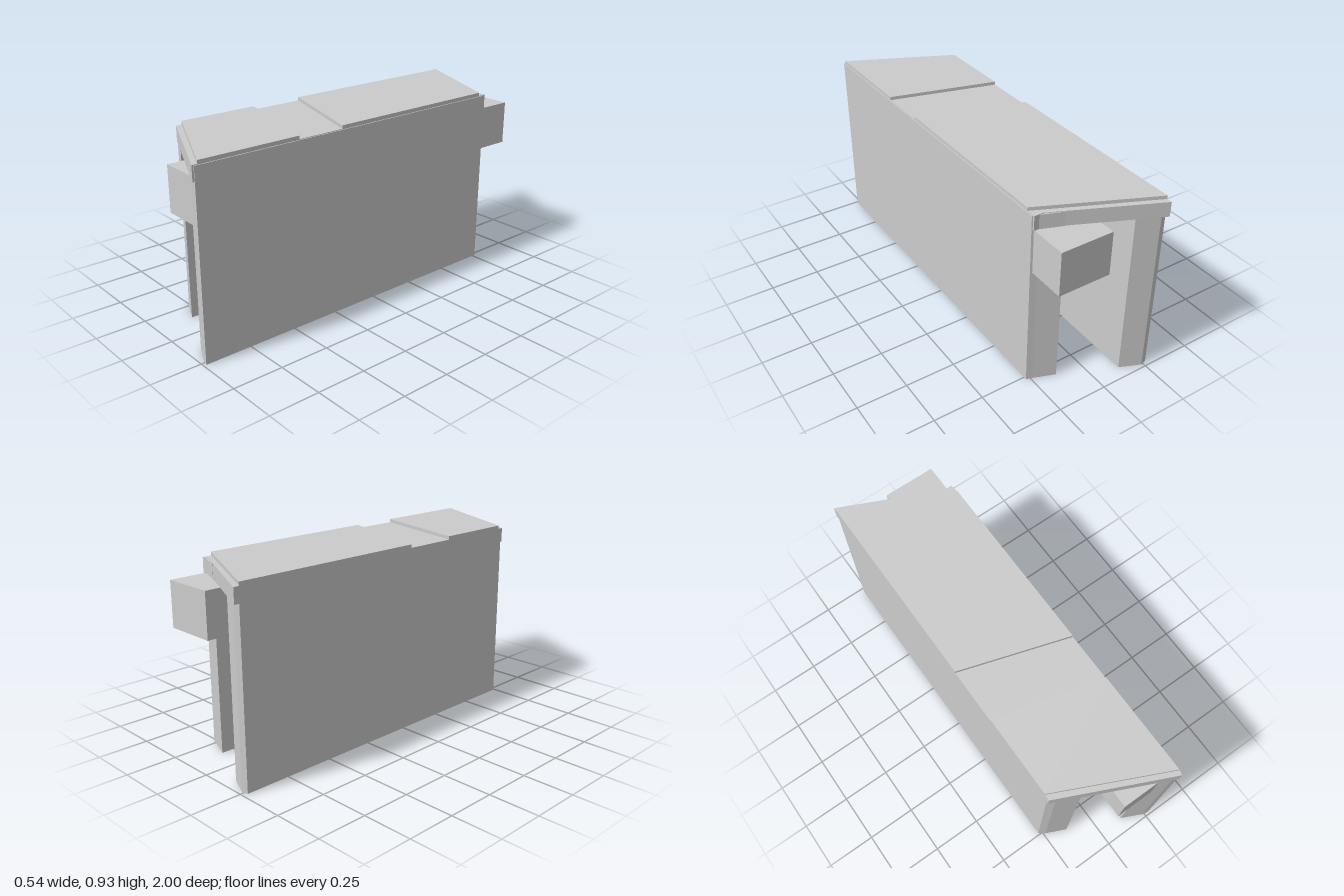
import * as THREE from 'three';

const material = new THREE.MeshStandardMaterial({ color: 0xcccccc, flatShading: true });

// Prism standing on a plan outline given as [x, z] corners
function prism(name, plan, y0, y1) {
  const shape = new THREE.Shape(plan.map(([x, z]) => new THREE.Vector2(x, -z)));
  const geometry = new THREE.ExtrudeGeometry(shape, { depth: y1 - y0, bevelEnabled: false });
  geometry.rotateX(-Math.PI / 2);
  geometry.translate(0, y0, 0);
  const mesh = new THREE.Mesh(geometry, material);
  mesh.name = name;
  return mesh;
}

export function createModel() {
  const model = new THREE.Group();
  model.name = 'skewedCulvert';

  // Side walls with skewed ends and clipped outer corners
  model.add(prism('leftWall', [
    [0.135, 0.93], [0.24, 0.98], [0.27, 0.987],
    [0.27, -0.765], [0.24, -0.775], [0.135, -0.815],
  ], 0, 0.912));
  model.add(prism('rightWall', [
    [-0.27, 0.74], [-0.24, 0.763], [-0.137, 0.81],
    [-0.137, -0.938], [-0.24, -0.983], [-0.27, -0.975],
  ], 0, 0.842));

  // Roof deck spanning both walls
  model.add(prism('deck', [
    [-0.27, 0.75], [0.265, 0.995], [0.265, -0.775], [0.22, -0.775], [-0.27, -1],
  ], 0.842, 0.915));

  // Thin raised slabs with a gap between them
  model.add(prism('frontSlab', [
    [-0.27, 0.72], [0.267, 0.97], [0.267, 0.453], [-0.27, 0.315],
  ], 0.915, 0.932));
  model.add(prism('backSlab', [
    [-0.27, 0.04], [0.267, 0.207], [0.267, -0.728], [-0.27, -0.973],
  ], 0.915, 0.932));

  // Square duct under the deck, sticking out at both ends
  const duct = new THREE.Mesh(new THREE.BoxGeometry(0.265, 0.221, 1.91), material);
  duct.name = 'duct';
  duct.position.set(0.1275, 0.7305, 0);
  model.add(duct);

  return model;
}
